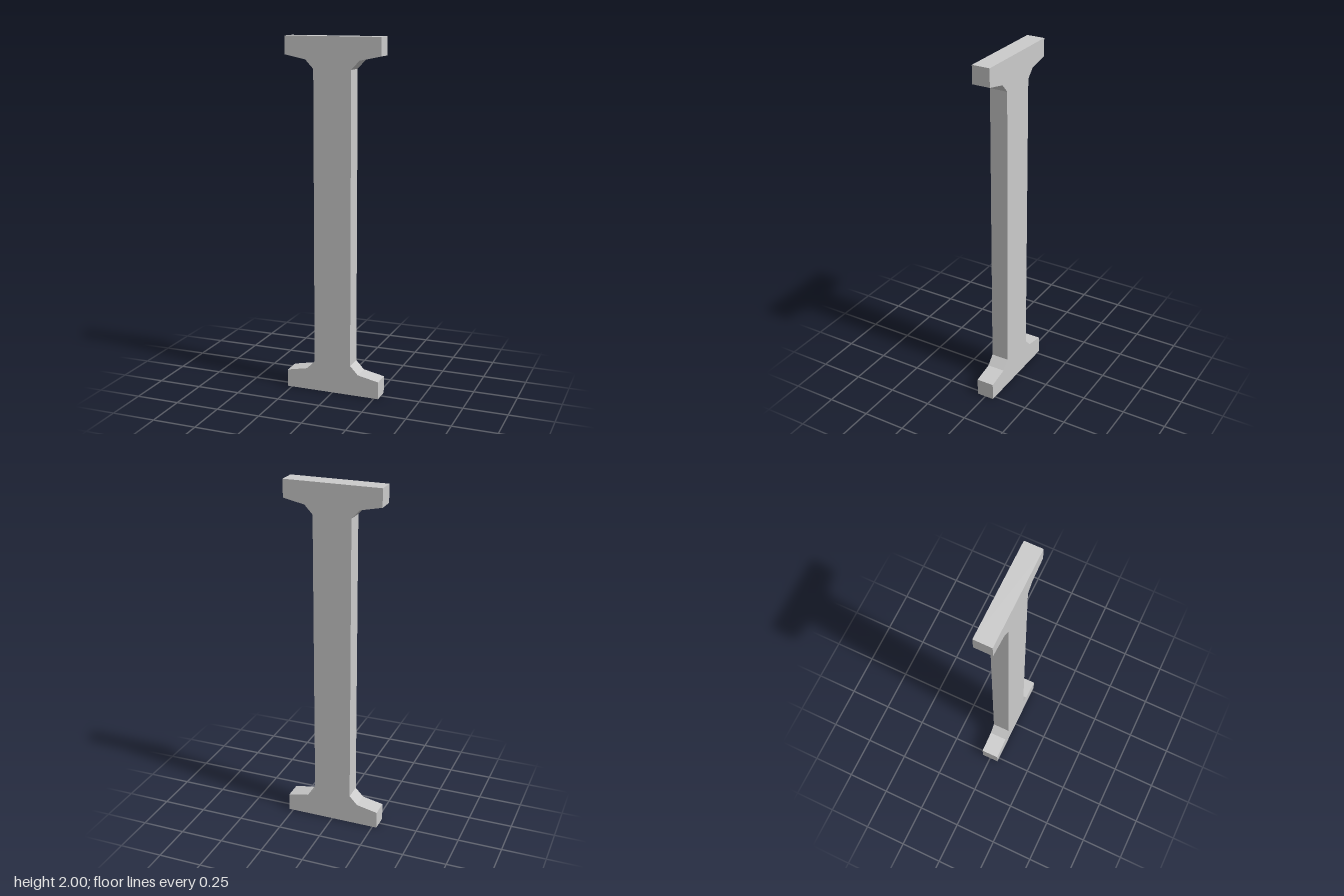
import * as THREE from 'three';

const HEIGHT = 2;
const DEPTH = 0.102;

// One quarter of the outline: foot edge, sloped flange, chamfer, web
const QUARTER = [[0.275, 0], [0.275, 0.1], [0.154, 0.125], [0.108, 0.174]];

export function createModel() {
  const group = new THREE.Group();
  group.name = 'flangedPost';

  // Mirror the quarter upward, then across, to close the outline counter-clockwise
  const right = [...QUARTER, ...QUARTER.map(([x, y]) => [x, HEIGHT - y]).reverse()];
  const left = right.map(([x, y]) => [-x, y]).reverse();
  const outline = [...right, ...left].map(([x, y]) => new THREE.Vector2(x, y));

  // Flat plate with sharp edges
  const geometry = new THREE.ExtrudeGeometry(new THREE.Shape(outline), {
    depth: DEPTH,
    bevelEnabled: false,
  });
  geometry.translate(0, 0, -DEPTH / 2);

  const post = new THREE.Mesh(
    geometry,
    new THREE.MeshStandardMaterial({ color: 0xcccccc, flatShading: true })
  );
  post.name = 'post';
  group.add(post);
  return group;
}
